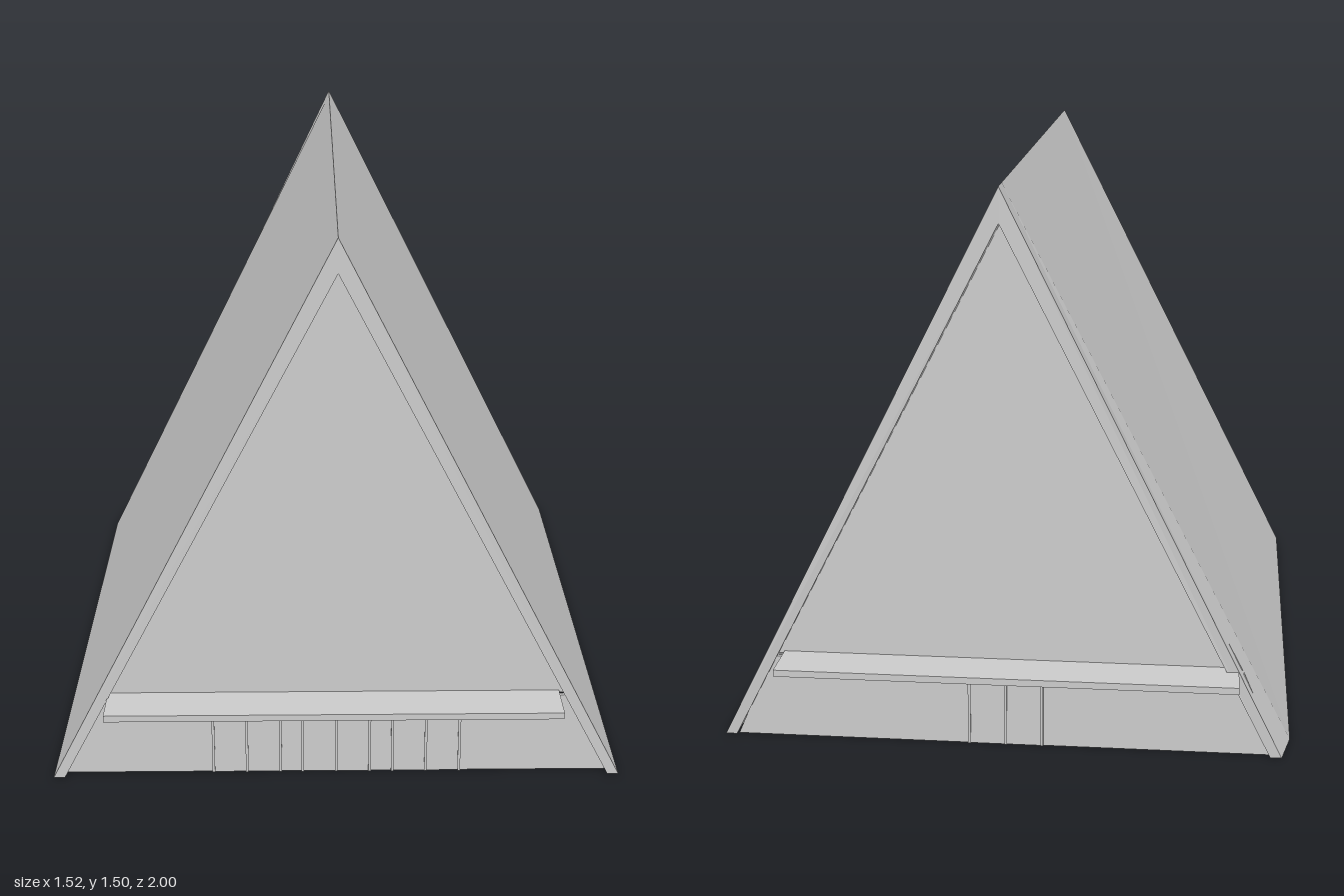
import * as THREE from 'three';

const mat = new THREE.MeshStandardMaterial({ color: 0xcccccc, side: THREE.DoubleSide, flatShading: true });

function add(parent, name, geometry, x = 0, y = 0, z = 0) {
  const mesh = new THREE.Mesh(geometry, mat);
  mesh.name = name;
  mesh.position.set(x, y, z);
  parent.add(mesh);
  return mesh;
}

// Solid skin through four-cornered cross-sections, ordered front to back
function loft(sections) {
  const pos = [];
  const quad = (a, b, c, d) => [a, b, c, a, c, d].forEach((p) => pos.push(...p));
  for (let i = 0; i < sections.length - 1; i++) {
    const f = sections[i], b = sections[i + 1];
    for (let k = 0; k < 4; k++) {
      const n = (k + 1) % 4;
      quad(f[k], b[k], b[n], f[n]);
    }
  }
  quad(...sections[0]);
  quad(...[...sections[sections.length - 1]].reverse());
  const g = new THREE.BufferGeometry();
  g.setAttribute('position', new THREE.Float32BufferAttribute(pos, 3));
  g.computeVertexNormals();
  return g;
}

// Roof cross-section: ridge outside, ridge inside, eave inside, eave outside
function roofSection(side, eaveX, eaveZ, ridgeZ) {
  const s = [
    [0, 1.5, ridgeZ],
    [0, 1.41, ridgeZ],
    [side * (eaveX - 0.03), 0, eaveZ],
    [side * eaveX, 0, eaveZ],
  ];
  return side > 0 ? s : s.reverse();
}

function plate(points, depth) {
  const shape = new THREE.Shape(points.map(([x, y]) => new THREE.Vector2(x, y)));
  return new THREE.ExtrudeGeometry(shape, { depth, bevelEnabled: false });
}

// Double door: a frame passing through the wall and two inset leaves
function doubleDoor(x, width) {
  const door = new THREE.Group();
  door.name = 'doubleDoor';
  door.position.x = x;
  const h = 0.19, bar = 0.007, depth = 0.022;
  for (const k of [-1, 0, 1]) {
    add(door, 'doorPost', new THREE.BoxGeometry(bar, h, depth), k * (width - bar) / 2, h / 2, 0);
  }
  add(door, 'doorHead', new THREE.BoxGeometry(width, bar, depth), 0, h - bar / 2, 0);
  for (const k of [-1, 1]) {
    add(door, 'doorLeaf', new THREE.BoxGeometry(width / 2 - bar, h - bar, 0.015), k * width / 4, (h - bar) / 2, 0);
  }
  return door;
}

// Gable end built facing +z: triangle above, low wall with doors below, canopy between
function gableEnd(name, doorXs, doorWidth, baseHalf) {
  const end = new THREE.Group();
  end.name = name;
  const t = 0.012;
  add(end, 'gablePanel', plate([[-0.62, 0.235], [0.62, 0.235], [0, 1.425]], t), 0, 0, -t / 2);
  add(end, 'lowerWall', plate([[-baseHalf, 0], [baseHalf, 0], [0.625, 0.225], [-0.625, 0.225]], t), 0, 0, -t / 2);
  for (const x of doorXs) end.add(doubleDoor(x, doorWidth));
  return end;
}

export function createModel() {
  const model = new THREE.Group();
  model.name = 'aFrameHouse';

  // Two roof slopes; the right one curls in slightly at its rear foot
  add(model, 'leftRoof', loft([
    roofSection(1, 0.757, 0.905, 0.93),
    roofSection(1, 0.757, -0.875, -0.97),
  ]));
  add(model, 'rightRoof', loft([
    roofSection(-1, 0.762, 0.905, 0.93),
    roofSection(-1, 0.752, -0.765, -0.9),
    roofSection(-1, 0.727, -0.885, -0.97),
  ]));

  // Front end with three double doors, rear end with one
  const front = gableEnd('frontEnd', [-0.243, -0.003, 0.238], 0.187, 0.74);
  front.position.z = 0.872;
  const back = gableEnd('rearEnd', [0], 0.2, 0.722);
  back.position.z = -0.862;
  back.rotation.y = Math.PI;
  model.add(front, back);

  // Flat canopies passing through both ends
  for (const s of [1, -1]) {
    add(model, s > 0 ? 'frontCanopy' : 'rearCanopy',
      new THREE.BoxGeometry(1.2, 0.018, 0.16), -0.01, 0.232, s * 0.92);
  }
  return model;
}
